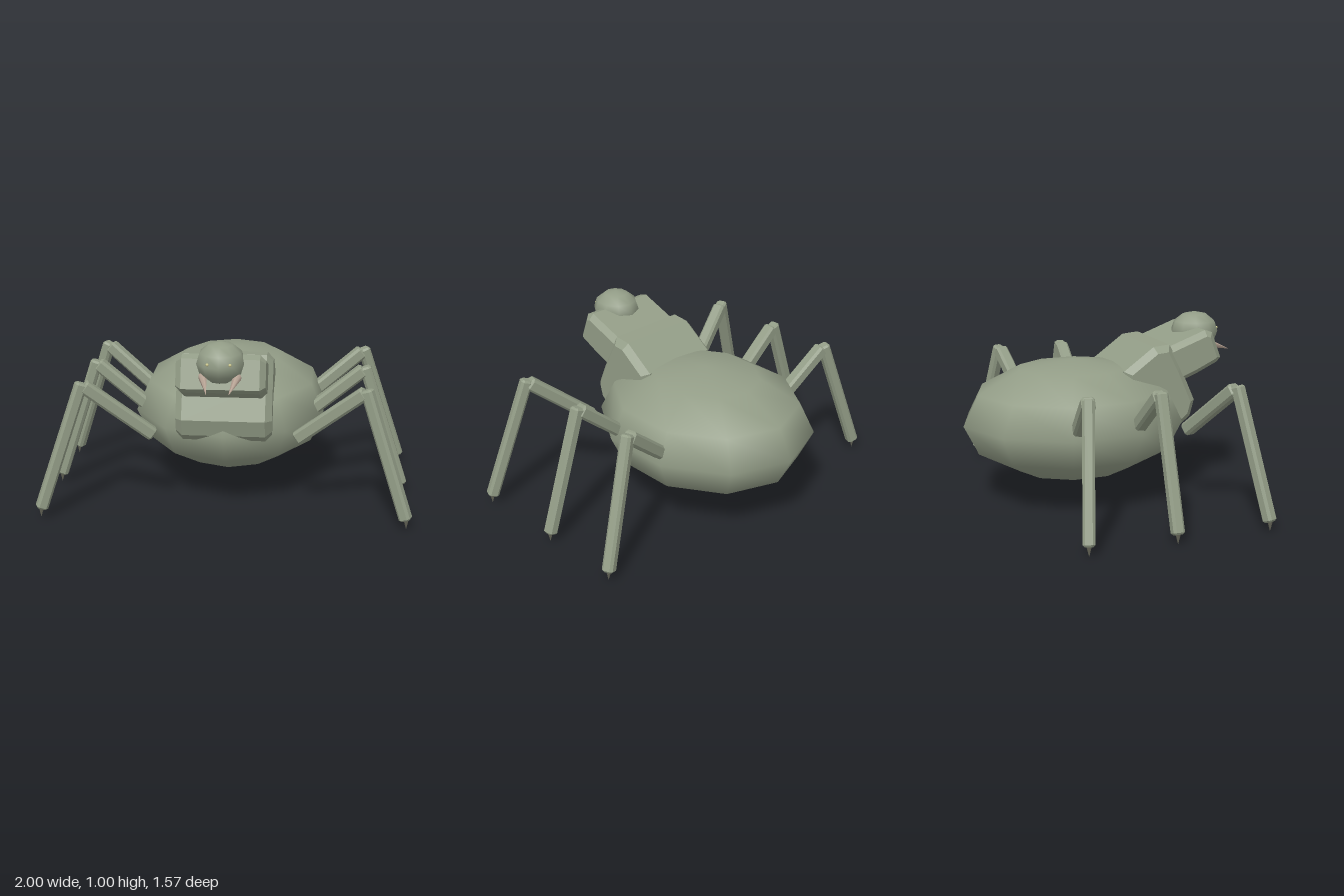
import * as THREE from 'three';

const mat = (name, color) => {
  const m = new THREE.MeshStandardMaterial({ color });
  m.name = name;
  return m;
};

export function createModel() {
  const root = new THREE.Group();
  root.name = 'spider';
  const skin = mat('greyGreen', 0x939d87);
  const fangMat = mat('paleFang', 0xb9a596);
  const clawMat = mat('darkClaw', 0x6a6a5c);
  const eyeMat = mat('paleEye', 0xc9c48a);

  const add = (name, geometry, material, parent = root) => {
    const mesh = new THREE.Mesh(geometry, material);
    mesh.name = name;
    parent.add(mesh);
    return mesh;
  };

  // Ten-sided smooth ball with corners at the front and back
  const ball = (name, rx, ry, rz, x, y, z) => {
    const g = new THREE.SphereGeometry(1, 10, 6).rotateY(Math.PI / 2).scale(rx, ry, rz);
    add(name, g, skin).position.set(x, y, z);
  };

  // Extrusion centred along z, chamfered inward at both ends
  const chamfered = (points, length, bevel) => {
    const shape = new THREE.Shape(points.map(([x, y]) => new THREE.Vector2(x, y)));
    return new THREE.ExtrudeGeometry(shape, {
      depth: length - 2 * bevel, bevelEnabled: true, bevelSegments: 1,
      bevelSize: bevel, bevelThickness: bevel, bevelOffset: -bevel,
    }).translate(0, 0, bevel - length / 2);
  };

  // Block across the body from a (z, y) side profile
  const block = (name, points, width, bevel) =>
    add(name, chamfered(points, width, bevel).rotateY(-Math.PI / 2), skin);

  ball('abdomen', 0.55, 0.33, 0.635, 0, 0.45, -0.15);
  block('thorax', [
    [0.1, 0.4], [0.41, 0.41], [0.46, 0.45], [0.485, 0.54], [0.4, 0.73],
    [0.33, 0.863], [0.235, 0.855], [0.06, 0.73],
  ], 0.51, 0.035);
  block('neck', [
    [0.2, 0.57], [0.51, 0.685], [0.63, 0.74], [0.655, 0.765],
    [0.6, 0.91], [0.555, 0.925], [0.32, 0.84], [0.2, 0.79],
  ], 0.46, 0.03);
  ball('head', 0.127, 0.108, 0.137, 0, 0.892, 0.587);

  // Place a z-aligned geometry between two points
  const between = (name, a, b, material, make, parent) => {
    const mesh = add(name, make(a.distanceTo(b)), material, parent);
    mesh.position.copy(a).add(b).multiplyScalar(0.5);
    mesh.lookAt(b);
    return mesh;
  };
  const spike = (radius, sides) => (length) =>
    new THREE.ConeGeometry(radius, length, sides).rotateX(Math.PI / 2);
  const bar = (w) => (length) => {
    const h = w / 2, c = h - 0.013;
    return chamfered([
      [-c, -h], [c, -h], [h, -c], [h, c], [c, h], [-c, h], [-h, c], [-h, -c],
    ], length, 0.01);
  };

  // Hip, knee and foot depth of each leg pair
  const pairs = [
    ['front', 0.365, 0.475, 0.565],
    ['middle', 0.04, 0.042, 0.042],
    ['rear', -0.285, -0.35, -0.435],
  ];

  for (const side of [1, -1]) {
    const label = side > 0 ? 'Left' : 'Right';
    const at = (x, y, z) => new THREE.Vector3(side * x, y, z);

    for (const [row, hipZ, kneeZ, footZ] of pairs) {
      const leg = new THREE.Group();
      leg.name = `${row}${label}Leg`;
      root.add(leg);
      between('upperLeg', at(0.385, 0.417, hipZ), at(0.738, 0.712, kneeZ - (kneeZ - hipZ) * 0.05), skin, bar(0.072), leg);
      between('lowerLeg', at(0.744, 0.73, kneeZ), at(0.968, 0.05, footZ), skin, bar(0.063), leg);
      between('claw', at(0.968, 0.06, footZ), at(0.97, 0, footZ), clawMat, spike(0.016, 6), leg);
    }

    // Fangs and eyes
    between(`fang${label}`, at(0.088, 0.828, 0.63), at(0.055, 0.777, 0.785), fangMat, spike(0.024, 6), root);
    add(`eye${label}`, new THREE.SphereGeometry(0.008, 8, 6), eyeMat).position.copy(at(0.057, 0.908, 0.7));
  }

  return root;
}
